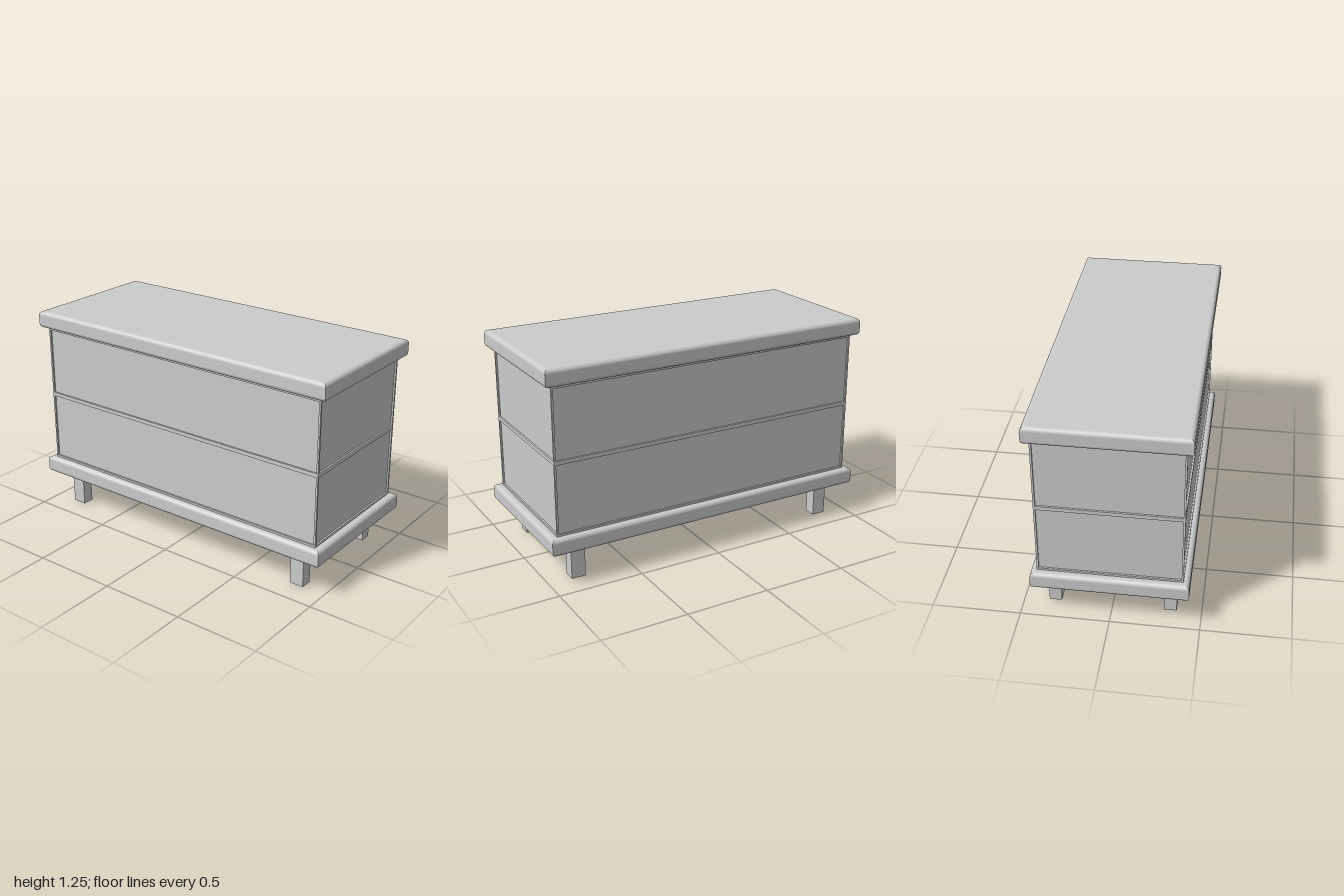
import * as THREE from 'three';

const material = new THREE.MeshStandardMaterial({ color: 0xcccccc });

function addBox(parent, name, w, h, d, x, y, z) {
  const mesh = new THREE.Mesh(new THREE.BoxGeometry(w, h, d), material);
  mesh.name = name;
  mesh.position.set(x, y, z);
  parent.add(mesh);
  return mesh;
}

// Board with rounded top and bottom edges, mitred at sharp vertical corners
function boardGeometry(hx, hz, h, r) {
  const steps = 6;
  // Profile from the underside to the top: [inset, y, outward normal, up normal]
  const profile = [[hz, 0, 0, -1]];
  for (const [cy, start] of [[r, -Math.PI / 2], [h - r, 0]]) {
    for (let i = 0; i <= steps; i++) {
      const a = start + (i / steps) * Math.PI / 2;
      profile.push([r - r * Math.cos(a), cy + r * Math.sin(a), Math.cos(a), Math.sin(a)]);
    }
  }
  profile.push([hz, h, 0, 1]);

  const positions = [], normals = [], indices = [];
  const corners = [[-1, 1], [1, 1], [1, -1], [-1, -1]];
  const outward = [[0, 1], [1, 0], [0, -1], [-1, 0]];
  for (let side = 0; side < 4; side++) {
    const base = positions.length / 3;
    const [ox, oz] = outward[side];
    profile.forEach(([inset, y, nOut, nUp], i) => {
      for (const [sx, sz] of [corners[side], corners[(side + 1) % 4]]) {
        positions.push(sx * (hx - inset), y, sz * (hz - inset));
        normals.push(ox * nOut, nUp, oz * nOut);
      }
      if (i > 0) {
        const a = base + 2 * (i - 1);
        indices.push(a, a + 1, a + 3, a, a + 3, a + 2);
      }
    });
  }
  const geometry = new THREE.BufferGeometry();
  geometry.setAttribute('position', new THREE.Float32BufferAttribute(positions, 3));
  geometry.setAttribute('normal', new THREE.Float32BufferAttribute(normals, 3));
  geometry.setIndex(indices);
  return geometry;
}

export function createModel() {
  const model = new THREE.Group();
  model.name = 'chest';

  // Top and base boards
  for (const [name, y] of [['topBoard', 1.147], ['baseBoard', 0.195]]) {
    const board = new THREE.Mesh(boardGeometry(1, 0.434, 0.102, 0.024), material);
    board.name = name;
    board.position.y = y;
    model.add(board);
  }

  // Body: a core whose faces are the recessed panels, held in a thin frame
  const body = new THREE.Group();
  body.name = 'body';
  model.add(body);
  const hx = 0.957, hz = 0.4, recess = 0.01, post = 0.011;
  addBox(body, 'panelCore', 2 * (hx - recess), 0.84, 2 * (hz - recess), 0, 0.72, 0);

  // Horizontal rails run all the way round
  const rails = [[0.29, 0.309], [0.709, 0.732], [1.132, 1.15]];
  for (const [low, high] of rails) {
    addBox(body, 'rail', 2 * hx, high - low, 2 * hz, 0, (low + high) / 2, 0);
  }

  // Corner posts between the rails
  for (let i = 0; i < 2; i++) {
    const low = rails[i][1], high = rails[i + 1][0];
    for (const sx of [-1, 1]) for (const sz of [-1, 1]) {
      addBox(body, 'cornerPost', post, high - low, post,
        sx * (hx - post / 2), (low + high) / 2, sz * (hz - post / 2));
    }
  }

  // Four square-cut legs
  for (const sx of [-1, 1]) for (const sz of [-1, 1]) {
    addBox(model, 'leg', 0.084, 0.2, 0.07, sx * 0.822, 0.1, sz * 0.325);
  }

  return model;
}
